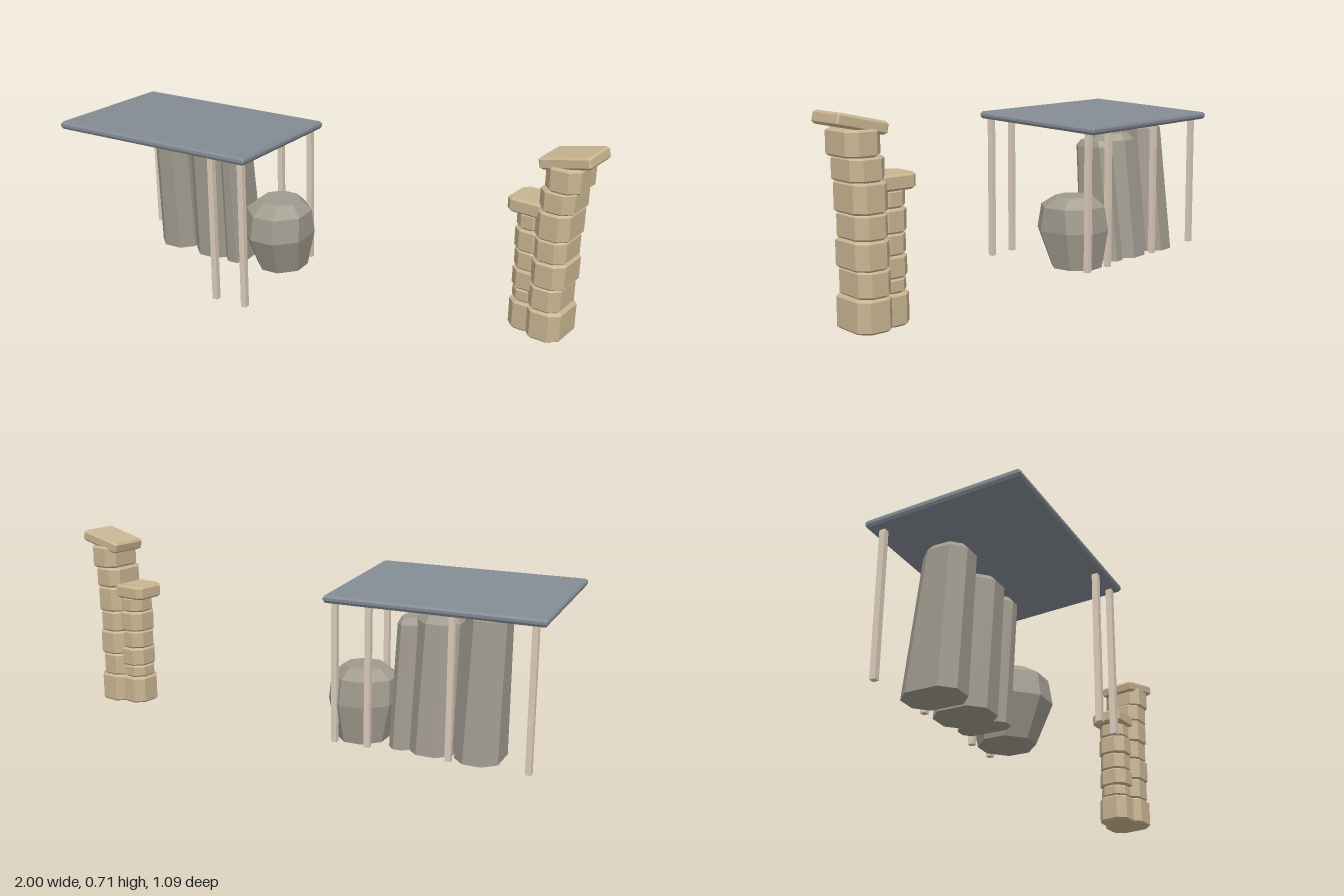
import * as THREE from 'three';

const material = (color) => new THREE.MeshStandardMaterial({ color, flatShading: true });
const stone = material(0xa09a8e), sand = material(0xc8b491);
const slate = material(0x848c94), wood = material(0xdccbba);

// Solid through horizontal rings of chamfered rectangles: [y, width, depth, chamfer, shiftX, shiftZ]
function loft(name, rings, mat) {
  const loops = rings.map(([y, w, d, c, sx = 0, sz = 0]) => {
    const a = w / 2, b = d / 2;
    return [[a, b - c], [a, c - b], [a - c, -b], [c - a, -b], [-a, c - b], [-a, b - c], [c - a, b], [a - c, b]]
      .map(([x, z]) => [x + sx, y, z + sz]);
  });
  const p = [];
  const tri = (...v) => v.forEach((q) => p.push(...q));
  for (let i = 0; i + 1 < loops.length; i++) {
    for (let j = 0; j < 8; j++) {
      const k = (j + 1) % 8, lo = loops[i], hi = loops[i + 1];
      tri(lo[j], lo[k], hi[k]);
      tri(lo[j], hi[k], hi[j]);
    }
  }
  const bottom = loops[0], top = loops[loops.length - 1];
  for (let j = 1; j < 7; j++) {
    tri(top[0], top[j], top[j + 1]);
    tri(bottom[0], bottom[j + 1], bottom[j]);
  }
  const g = new THREE.BufferGeometry();
  g.setAttribute('position', new THREE.Float32BufferAttribute(p, 3));
  g.computeVertexNormals();
  const mesh = new THREE.Mesh(g, mat);
  mesh.name = name;
  return mesh;
}

// Block with softened upper and lower edges
function block(name, y0, y1, w, d, c, e, mat) {
  return loft(name, [
    [y0, w - 2 * e, d - 2 * e, c], [y0 + e, w, d, c],
    [y1 - e, w, d, c], [y1, w - 2 * e, d - 2 * e, c],
  ], mat);
}

function createShelter() {
  const shelter = new THREE.Group();
  shelter.name = 'shelter';

  // Sloping slab roof
  const roof = loft('roof', [
    [-0.014, 0.822, 0.567, 0.003], [-0.004, 0.834, 0.578, 0.003],
    [0.006, 0.834, 0.578, 0.003], [0.014, 0.822, 0.567, 0.003],
  ], slate);
  roof.position.y = 0.576;
  roof.rotation.x = -0.055;
  shelter.add(roof);

  // Thin posts, reaching the underside of the roof
  const posts = [[0.385, 0.254], [0.257, 0.254], [0.387, -0.242], [0.252, -0.242], [-0.07, -0.244], [-0.369, -0.244]];
  for (const [x, z] of posts) {
    const h = 0.57 + z * 0.055;
    const post = new THREE.Mesh(new THREE.BoxGeometry(0.022, h, 0.022), wood);
    post.name = 'post';
    post.position.set(x, h / 2, z);
    shelter.add(post);
  }

  // Leaning stone slabs: [x, z, height, width, depth]
  const slabs = [[-0.163, -0.149, 0.545, 0.165, 0.215], [0.02, -0.138, 0.51, 0.175, 0.21], [0.138, -0.13, 0.49, 0.085, 0.19]];
  for (const [x, z, h, w, d] of slabs) {
    const c = w * 0.28;
    const slab = loft('standingStone', [
      [0, w, d, c], [h - 0.025, w * 0.94, d * 0.82, c, 0, 0.04], [h, w * 0.7, d * 0.6, c * 0.7, 0, 0.04],
    ], stone);
    slab.position.set(x, 0, z);
    shelter.add(slab);
  }

  // Rounded boulder
  const boulder = loft('boulder', [
    [0, 0.19, 0.2, 0.06, 0, -0.02], [0.15, 0.25, 0.28, 0.075],
    [0.245, 0.24, 0.25, 0.075], [0.285, 0.15, 0.15, 0.045, 0, -0.01],
  ], stone);
  boulder.position.set(0.317, 0, -0.115);
  shelter.add(boulder);

  shelter.position.set(-0.4975, 0, -0.1);
  shelter.rotation.y = -0.447;
  return shelter;
}

function createPillar() {
  const pillar = new THREE.Group();
  pillar.name = 'pillar';

  // Stacked courses of a column: [top, width, depth, shift along x]
  const stack = (name, x, courses) => {
    let y = 0;
    for (const [top, w, d, shift] of courses) {
      const b = block(name, y, top, w, d, 0.032, 0.007, sand);
      b.position.x = x + shift;
      pillar.add(b);
      y = top;
    }
  };
  stack('tallCourse', 0, [
    [0.113, 0.135, 0.185, 0], [0.203, 0.125, 0.175, -0.005], [0.3, 0.13, 0.18, 0.002], [0.385, 0.125, 0.172, 0],
    [0.487, 0.13, 0.178, 0.004], [0.567, 0.13, 0.172, 0.012], [0.655, 0.13, 0.178, 0.028],
  ]);
  stack('shortCourse', -0.09, [
    [0.11, 0.12, 0.135, 0], [0.16, 0.11, 0.12, 0], [0.235, 0.12, 0.13, 0.003],
    [0.308, 0.112, 0.122, 0], [0.39, 0.12, 0.13, 0.002], [0.45, 0.11, 0.12, -0.002],
  ]);

  // Cap stones; the tall one is tilted
  const tallCap = block('tallCap', -0.022, 0.022, 0.19, 0.155, 0.006, 0.008, sand);
  tallCap.position.set(0.035, 0.672, 0);
  tallCap.rotation.z = 0.22;
  const shortCap = block('shortCap', 0.448, 0.502, 0.15, 0.14, 0.02, 0.008, sand);
  shortCap.position.x = -0.1;
  pillar.add(tallCap, shortCap);

  pillar.position.set(0.855, 0, 0.415);
  pillar.rotation.y = -0.61;
  return pillar;
}

export function createModel() {
  const model = new THREE.Group();
  model.name = 'stoneShelterAndPillar';
  model.add(createShelter(), createPillar());
  return model;
}
